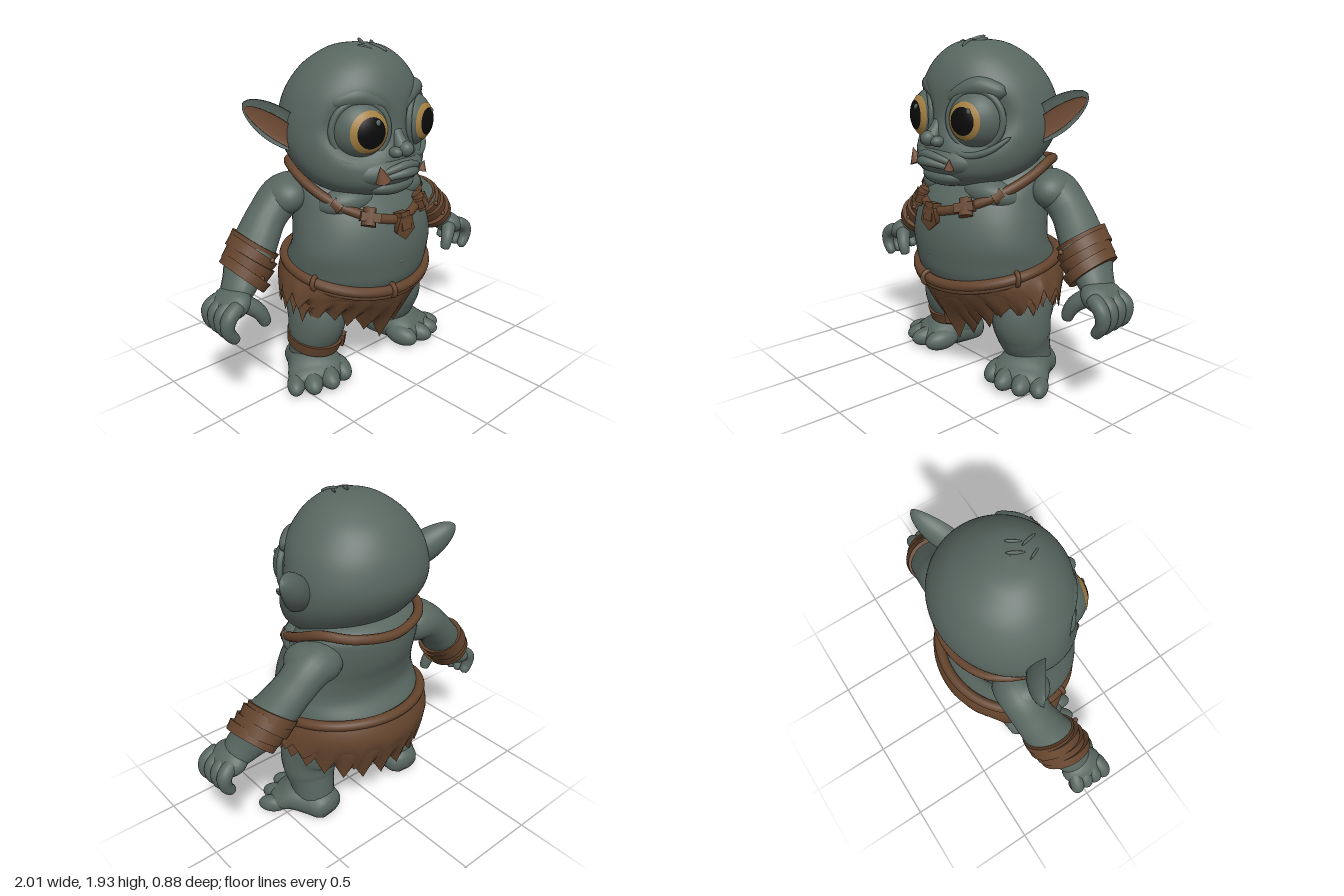
import * as THREE from 'three';
import { ParametricGeometry } from 'three/addons/geometries/ParametricGeometry.js';

const V = (x, y, z) => new THREE.Vector3(x, y, z);
const material = (name, color, side = THREE.FrontSide) => {
  const m = new THREE.MeshStandardMaterial({ color, side });
  m.name = name;
  return m;
};

export function createModel() {
  const model = new THREE.Group();
  model.name = 'goblin';
  const skin = material('greyGreenSkin', 0x586660);
  const leather = material('brownLeather', 0x64442d, THREE.DoubleSide);
  const amber = material('amberIris', 0xa68142);
  const black = material('blackPupil', 0x0b0b0b);
  const inner = material('innerEarBrown', 0x724d36);

  const add = (name, geo, mat, pos = [0, 0, 0], rot = [0, 0, 0], scale = [1, 1, 1]) => {
    const m = new THREE.Mesh(geo, mat);
    m.name = name;
    m.position.set(...pos);
    m.rotation.set(...rot);
    m.scale.set(...scale);
    model.add(m);
  };
  const ball = (name, pos, radii, rot, mat = skin) =>
    add(name, new THREE.SphereGeometry(1, 28, 18), mat, pos, rot, radii);
  const spline = (pts) => new THREE.CatmullRomCurve3(pts, false, 'catmullrom');

  // Upright body from rows of [y, half width, front z, back z]
  const loft = (name, rows, tweak = () => {}) => {
    const size = spline(rows.map((r) => V(r[1], r[2], r[3])));
    const height = spline(rows.map((r) => V(r[0], 0, 0)));
    const f = (u, v, out) => {
      const c = size.getPoint(v), a = u * Math.PI * 2;
      const half = Math.max(0.001, (c.y - c.z) / 2);
      out.set(Math.max(0.001, c.x) * Math.sin(a), height.getPoint(v).x, (c.y + c.z) / 2 + half * Math.cos(a));
      tweak(out);
    };
    add(name, new ParametricGeometry(f, 72, 56), skin);
  };

  // Rounded limb through [x, y, z, side radius, radius along ref]; s mirrors x
  const limb = (name, pts, s = 1, ref = V(0, 0, 1), seg = 20, floor = -9) => {
    const path = spline(pts.map((p) => V(p[0] * s, p[1], p[2])));
    const radii = spline(pts.map((p) => V(p[3], p[4] ?? p[3], 0)));
    const f = (u, v, out) => {
      const t = path.getTangent(v), r = radii.getPoint(v), a = u * Math.PI * 2;
      const cap = Math.sqrt(Math.max(1e-5, 1 - Math.pow(Math.abs(2 * v - 1), 12)));
      const side = V().crossVectors(ref, t).normalize();
      const up = V().crossVectors(t, side);
      out.copy(path.getPoint(v)).addScaledVector(side, Math.cos(a) * r.x * cap)
        .addScaledVector(up, Math.sin(a) * r.y * cap);
      out.y = Math.max(floor, out.y);
    };
    add(name, new ParametricGeometry(f, 20, seg), skin);
  };
  const Y = V(0, 1, 0);
  const headX = -0.015; // the head sits slightly to the right

  // Torso and belly
  loft('torso', [
    [0.37, 0.001, -0.02, -0.04], [0.4, 0.2, 0.14, -0.2], [0.5, 0.37, 0.29, -0.34], [0.62, 0.43, 0.36, -0.39],
    [0.72, 0.445, 0.38, -0.36], [0.82, 0.445, 0.385, -0.3], [0.93, 0.425, 0.37, -0.31], [1.04, 0.4, 0.325, -0.345],
    [1.14, 0.385, 0.24, -0.36], [1.22, 0.355, 0.14, -0.35], [1.28, 0.26, 0.08, -0.27], [1.32, 0.001, -0.05, -0.07],
  ]);
  ball('navel', [-0.02, 0.745, 0.375], [0.03, 0.012, 0.01]);

  // Head with hollow eye sockets
  loft('head', [
    [1.09, 0.001, 0.11, 0.09], [1.1, 0.12, 0.2, 0], [1.14, 0.25, 0.3, -0.1], [1.2, 0.345, 0.35, -0.2],
    [1.28, 0.4, 0.36, -0.29], [1.38, 0.427, 0.35, -0.37], [1.48, 0.428, 0.34, -0.407], [1.58, 0.41, 0.335, -0.4],
    [1.68, 0.37, 0.32, -0.365], [1.78, 0.295, 0.275, -0.295], [1.85, 0.21, 0.21, -0.2], [1.89, 0.125, 0.135, -0.11],
    [1.908, 0.001, 0.016, 0.014],
  ], (p) => {
    p.x += headX;
    if (p.z < 0) return;
    const d = Math.hypot(Math.abs(p.x) - 0.22, p.y - 1.49);
    p.z -= 0.07 * Math.exp(-Math.pow(d / 0.15, 4));
  });

  // Muzzle, nose and frowning lips
  ball('muzzle', [headX, 1.26, 0.2], [0.27, 0.11, 0.195]);
  ball('chin', [headX, 1.175, 0.26], [0.17, 0.06, 0.11]);
  limb('noseBridge', [[headX, 1.48, 0.31, 0.03], [headX, 1.43, 0.335, 0.035], [headX, 1.38, 0.365, 0.05]]);
  ball('noseTip', [headX, 1.385, 0.385], [0.042, 0.042, 0.045]);
  limb('upperLip', [[-0.2, 1.24, 0.3, 0.014], [-0.11, 1.28, 0.37, 0.02], [headX, 1.3, 0.395, 0.024],
    [0.085, 1.28, 0.37, 0.02], [0.175, 1.24, 0.3, 0.014]], 1, Y);
  limb('lowerLip', [[-0.195, 1.22, 0.3, 0.014], [-0.105, 1.25, 0.38, 0.02], [headX, 1.265, 0.415, 0.026],
    [0.075, 1.25, 0.38, 0.02], [0.165, 1.22, 0.3, 0.014]], 1, Y);
  add('largeTusk', new THREE.ConeGeometry(0.042, 0.09, 10), inner, [-0.17, 1.275, 0.365], [0.1, 0, 0.35]);
  add('smallTusk', new THREE.ConeGeometry(0.026, 0.06, 10), inner, [0.145, 1.262, 0.37], [0.1, 0, -0.2]);

  // Hair tuft
  [[-0.05, 1.88, 0.13, 0.5], [-0.015, 1.903, 0.05, -0.4], [0.02, 1.885, 0.14, 0.3], [0.04, 1.892, 0.08, -0.5]]
    .forEach(([x, y, z, r]) => ball('hairTuft', [x, y, z], [0.008, 0.014, 0.055], [0.35, r, 0]));

  for (const s of [1, -1]) {
    // Eye: ball, iris, pupil and lids
    const eye = [0.175 * s, 1.49, 0.185], big = s < 0 ? 1.06 : 0.95;
    ball('eyeball', eye, [0.165, 0.165, 0.165]);
    const cap = (name, r, size, mat) => add(name,
      new THREE.SphereGeometry(r, 36, 10, 0, Math.PI * 2, 0, Math.asin(size / r)).rotateX(Math.PI / 2),
      mat, eye, [0, 0.25 * s, 0]);
    cap('iris', 0.168, 0.106 * big, amber);
    cap('pupil', 0.171, 0.078 * big, black);
    ball('eyeGlint', [0.216 * s + 0.035, 1.54, s < 0 ? 0.345 : 0.325], [0.016, 0.017, 0.008]);
    add('eyelid', new THREE.TorusGeometry(0.152, 0.019, 12, 40), skin, [0.21 * s, 1.49, 0.243], [0, 0.5 * s, 0]);
    limb('eyeBag', [[0.1, 1.335, 0.32, 0.014], [0.2, 1.305, 0.29, 0.018], [0.3, 1.335, 0.23, 0.018],
      [0.38, 1.41, 0.145, 0.01]], s);
    limb('brow', [[0.04, 1.58, 0.3, 0.022], [0.11, 1.63, 0.272, 0.04], [0.21, 1.66, 0.215, 0.055],
      [0.33, 1.625, 0.135, 0.04]], s);
    ball('nostril', [0.048 * s + headX, 1.37, 0.36], [0.034, 0.03, 0.04]);

    // Thick cupped ear with a blunt tip
    const base = V(0.37, 1.43, -0.05), tip = V(0.595, 1.63, -0.21);
    const axis = tip.clone().sub(base).normalize();
    const normal = V().crossVectors(axis, V(-0.45, 0.82, 0.35)).normalize();
    const wide = V().crossVectors(normal, axis);
    const ear = (turn, width, lift, shift) => (u, v, out) => {
      const t = (s > 0 ? u : 1 - u) * turn, h = 0.095 * Math.pow(Math.sin(Math.PI * (0.24 + 0.759 * v)), 0.52);
      const depth = Math.sin(t) > 0 ? -0.15 * width : 0.95;
      out.lerpVectors(base, tip, v * (0.86 + 0.14 * width)).addScaledVector(wide, h * width * Math.cos(t) + shift)
        .addScaledVector(normal, h * depth * Math.sin(t) + lift);
      out.x = out.x * s + headX;
    };
    add('ear', new ParametricGeometry(ear(Math.PI * 2, 1, 0.025, 0), 32, 28), skin);
    add('innerEar', new ParametricGeometry(ear(Math.PI, 0.6, 0.028, -0.015), 16, 24), inner);

    // Chest and arm
    ball('chestMuscle', [0.18 * s, 1.07, 0.1], [0.19, 0.1, 0.165], [-0.3, 0, 0]);
    limb('arm', [[0.24, 1.09, -0.17, 0.12, 0.13], [0.4, 1.09, -0.17, 0.115, 0.13], [0.52, 1.0, -0.165, 0.105, 0.12],
      [0.61, 0.905, -0.14, 0.11, 0.13], [0.7, 0.81, -0.105, 0.115, 0.14], [0.79, 0.71, -0.065, 0.085, 0.11],
      [0.87, 0.63, -0.035, 0.07, 0.1]], s, V(0, 0, 1), 32);
    ball('shoulder', [0.42 * s, 1.1, -0.14], [0.115, 0.1, 0.14], [0, 0, -0.6 * s]);

    // Hand, fingers and thumb
    ball('palm', [0.87 * s, 0.64, -0.035], [0.105, 0.07, 0.125], [0, 0, -0.6 * s]);
    [0.065, 0.005, -0.055, -0.115].forEach((z, i) => limb('finger', [[0.87, 0.66, z * 0.8, 0.042],
      [0.95, 0.61, z, 0.041], [0.962 - i * 0.004, 0.54, z, 0.036], [0.91, 0.465 + i * 0.007, z, 0.029]], s));
    limb('thumb', [[0.84, 0.65, 0.02, 0.05], [0.78, 0.6, 0.06, 0.043], [0.75, 0.55, 0.075, 0.036],
      [0.735, 0.5, 0.075, 0.028]], s);

    // Bracer of overlapping straps
    [[-0.072, 0.138, 0.055, 0.07], [-0.02, 0.134, 0.075, -0.03], [0.035, 0.138, 0.065, 0.05], [0.08, 0.132, 0.05, -0.06]]
      .forEach(([o, r, h, tilt]) => add('bracerStrap', new THREE.CylinderGeometry(r, r - 0.006, h, 32), leather,
        [(0.7 - 0.65 * o) * s, 0.805 + 0.76 * o, -0.105 + o * -0.3], [0.12, 0, (0.7 + tilt) * s], [1, 1, 1.17]));
    for (const o of [-0.06, 0.05])
      ball('bracerStud', [(0.69 - 0.65 * o) * s, 0.8 + 0.76 * o, 0.05], [0.014, 0.014, 0.014], [0, 0, 0], leather);

    // Leg, foot and toes
    limb('leg', [[0.25, 0.62, -0.07, 0.17, 0.2], [0.29, 0.48, -0.03, 0.175, 0.195], [0.32, 0.37, 0, 0.16, 0.18],
      [0.325, 0.27, -0.015, 0.155, 0.155], [0.33, 0.18, -0.04, 0.13, 0.135], [0.33, 0.05, -0.06, 0.13, 0.14]],
    s, V(0, 0, 1), 30);
    limb('foot', [[0.315, 0.06, -0.215, 0.1, 0.08], [0.33, 0.08, -0.1, 0.125, 0.1], [0.37, 0.09, 0.03, 0.16, 0.1],
      [0.41, 0.065, 0.11, 0.17, 0.075], [0.435, 0.045, 0.17, 0.14, 0.05]], s, Y, 24, 0.005);
    [[0.27, 0.067, 0.125, 0.064, 0.2], [0.375, 0.066, 0.16, 0.058, 0.35], [0.47, 0.058, 0.13, 0.056, 0.5],
      [0.545, 0.05, 0.075, 0.052, 0.7]].forEach(([x, y, z, r, yaw]) =>
      ball('toe', [x * s, y, z], [r, r, r * 1.75], [0.12, yaw * s, 0]));
  }

  // Ankle strap on the right leg
  add('ankleStrap', new THREE.CylinderGeometry(0.164, 0.155, 0.065, 32), leather, [-0.325, 0.235, -0.02],
    [0.22, 0, -0.05], [1, 1, 1.02]);
  add('ankleKnot', new THREE.BoxGeometry(0.05, 0.075, 0.04), leather, [-0.22, 0.225, 0.1], [0.2, 0.6, 0]);

  // Rope belt with ties
  const waist = (a, grow = 0) => V((0.445 + grow) * Math.sin(a), 0.65 - 0.07 * Math.cos(a) + 0.03 * Math.sin(a) ** 2,
    (Math.cos(a) > 0 ? 0.365 + grow : 0.395 + grow) * Math.cos(a));
  const loop = (name, pts, r) =>
    add(name, new THREE.TubeGeometry(new THREE.CatmullRomCurve3(pts, true), 96, r, 10, true), leather);
  const around = Array.from({ length: 24 }, (_, i) => i * Math.PI / 12);
  loop('beltRope', around.map((a) => waist(a)), 0.03);
  loop('beltLowerRope', around.map((a) => waist(a, 0.003).add(V(0, -0.028, 0))), 0.018);
  for (const a of [-0.17, 1.2, -1.25])
    add('beltTie', new THREE.TorusGeometry(0.036, 0.014, 8, 18), leather, waist(a).toArray(), [0, a + Math.PI / 2, 0]);

  // Ragged hide skirt in two layers
  const hem = [0.28, 0.43, 0.485, 0.55, 0.5, 0.43, 0.4];
  const skirt = (teeth, raise, grow, seed) => (u, v, out) => {
    const a = u * Math.PI * 2, k = Math.min(u, 1 - u) * 12, i = Math.min(5, Math.floor(k));
    const n = Math.floor(u * teeth + 0.5) % teeth, f = u * teeth + 0.5 - Math.floor(u * teeth + 0.5);
    const length = 0.055 + 0.045 * Math.abs(Math.sin(n * 12.9 + seed));
    const top = waist(a, grow);
    const low = THREE.MathUtils.lerp(hem[i], hem[i + 1], k - i) + raise - length * (1 - Math.abs(2 * f - 1)) * v * v;
    const c = Math.cos(a);
    out.set(top.x * (1 + 0.13 * v), THREE.MathUtils.lerp(top.y, low, v),
      c > 0 ? top.z - 0.17 * v * v * c : top.z + c * (0.055 * Math.sin(Math.PI * v) - 0.03 * v));
  };
  add('skirt', new ParametricGeometry(skirt(25, 0, 0, 1), 100, 12), leather);
  add('skirtOverlay', new ParametricGeometry(skirt(19, 0.045, 0.008, 4), 76, 12), leather);

  // Necklace cord with knots and pendant
  const half = [[0.1, 1.0, 0.33], [0.2, 1.03, 0.285], [0.32, 1.1, 0.16], [0.365, 1.18, -0.01], [0.345, 1.25, -0.17],
    [0.23, 1.24, -0.31]];
  loop('necklaceCord', [V(0, 0.985, 0.35), ...half.map((p) => V(...p)), V(0, 1.22, -0.375),
    ...half.slice().reverse().map((p) => V(-p[0], p[1], p[2]))], 0.027);
  for (const s of [1, -1]) {
    add('necklaceBead', new THREE.CylinderGeometry(0.036, 0.042, 0.1, 8), leather, [0.2 * s, 1.03, 0.305],
      [-0.5, 0.4 * s, 0.45 * s]);
    add('beadTie', new THREE.BoxGeometry(0.11, 0.05, 0.06), leather, [0.2 * s, 1.03, 0.31], [-0.4, 0.5 * s, 0.4 * s]);
    add('necklaceWrap', new THREE.CylinderGeometry(0.036, 0.036, 0.06, 12), leather, [0.31 * s, 1.09, 0.175],
      [-0.9, 0, -0.4 * s]);
  }
  add('pendantKnot', new THREE.BoxGeometry(0.07, 0.1, 0.06), leather, [-0.01, 0.98, 0.37], [-0.2, 0, 0]);
  add('pendant', new THREE.CylinderGeometry(0.075, 0.06, 0.04, 5), leather, [-0.01, 0.95, 0.378], [Math.PI / 2, 0, 0]);

  return model;
}
